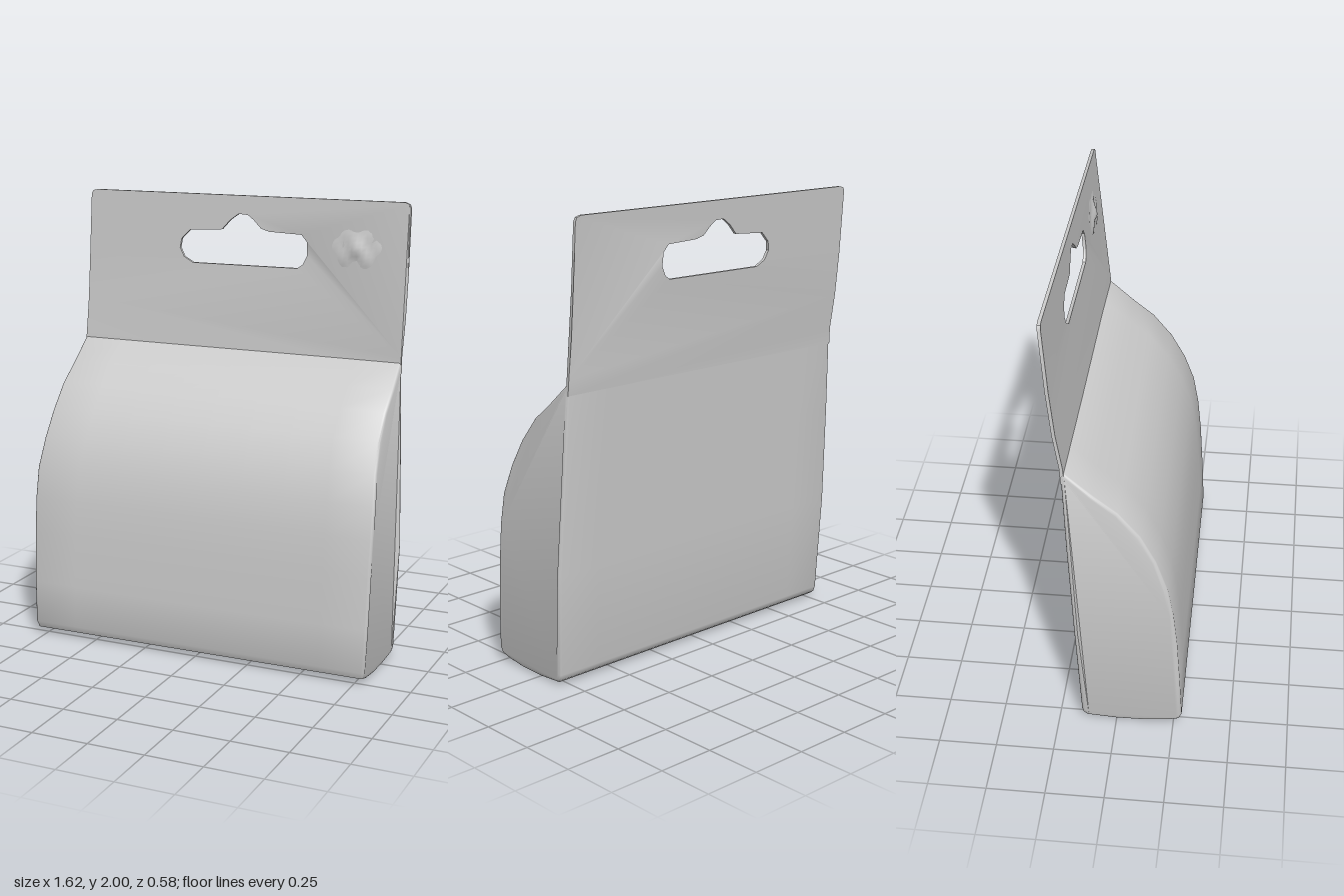
import * as THREE from 'three';
import { toCreasedNormals } from 'three/addons/utils/BufferGeometryUtils.js';

const V = (pts) => pts.map(([a, b]) => new THREE.Vector2(a, b));

// Linear lookup through [key, value] pairs
function lerpTable(t, k) {
  if (k <= t[0][0]) return t[0][1];
  for (let i = 1; i < t.length; i++) {
    const [k0, v0] = t[i - 1], [k1, v1] = t[i];
    if (k <= k1) return v0 + (v1 - v0) * (k - k0) / (k1 - k0);
  }
  return t[t.length - 1][1];
}

// Move every vertex by a rule, then smooth all but the sharp edges
function reshape(geo, rule, crease) {
  const p = geo.attributes.position, v = new THREE.Vector3();
  for (let i = 0; i < p.count; i++) {
    v.fromBufferAttribute(p, i);
    rule(v);
    v.z *= 1 - 0.03 * v.x; // the pack is slightly deeper on one side
    p.setXYZ(i, v.x, v.y, v.z);
  }
  return toCreasedNormals(geo, crease);
}

// Half width of the pouch and front depth of the card, by height
const halfWidth = [[0, 0.79], [0.1, 0.803], [0.75, 0.81], [1.0, 0.787], [1.31, 0.778]];
const cardDepth = [[1.27, -0.198], [1.34, -0.203], [1.5, -0.228], [1.7, -0.248], [2, -0.27]];

function pouchGeometry() {
  // Side profile as (z, y)
  const profile = new THREE.Shape(V([
    [-0.125, 0.012], [0, 0.002], [0.12, 0.004], [0.22, 0.016], [0.268, 0.03], [0.28, 0.06],
    [0.27, 0.25], [0.255, 0.48], [0.238, 0.64], [0.212, 0.78], [0.165, 0.91], [0.1, 1.03],
    [0.01, 1.14], [-0.09, 1.22], [-0.198, 1.315], [-0.213, 1.315], [-0.197, 0.95],
    [-0.172, 0.5], [-0.149, 0.05], [-0.143, 0.026],
  ]));
  const bevel = 0.015;
  const geo = new THREE.ExtrudeGeometry(profile, {
    depth: 2 - 2 * bevel, steps: 8, bevelEnabled: true, bevelSize: bevel,
    bevelThickness: bevel, bevelOffset: -bevel, bevelSegments: 3,
  });
  geo.translate(0, 0, bevel - 1).rotateY(-Math.PI / 2);
  return reshape(geo, (v) => { v.x *= lerpTable(halfWidth, v.y); }, 0.75);
}

function cardGeometry() {
  const card = new THREE.Shape(V([
    [-0.778, 1.27], [0.778, 1.27], [0.776, 1.34], [0.78, 1.5], [0.782, 1.7], [0.782, 1.975],
    [0.775, 1.992], [0.755, 2], [-0.74, 2], [-0.762, 1.995], [-0.77, 1.98],
    [-0.773, 1.7], [-0.773, 1.5], [-0.773, 1.34],
  ]));
  // Hang slot with a raised middle
  card.holes.push(new THREE.Path(V([
    [-0.24, 1.69], [-0.285, 1.715], [-0.306, 1.755], [-0.3, 1.795], [-0.26, 1.836], [-0.1, 1.846],
    [-0.06, 1.89], [-0.02, 1.918], [0.025, 1.915], [0.055, 1.893], [0.09, 1.858], [0.13, 1.846],
    [0.285, 1.84], [0.312, 1.81], [0.315, 1.75], [0.296, 1.71], [0.27, 1.692],
  ])));
  const geo = new THREE.ExtrudeGeometry(card, { depth: 0.014, bevelEnabled: false });
  geo.translate(0, 0, -0.014);
  return reshape(geo, (v) => { v.z += lerpTable(cardDepth, v.y); }, 0.6);
}

// Small crumpled area standing out of the card
function crumpleGeometry() {
  const geo = new THREE.PlaneGeometry(0.3, 0.24, 14, 12).translate(0.55, 1.78, 0).toNonIndexed();
  return reshape(geo, (v) => {
    const r = Math.hypot((v.x - 0.55) / 0.15, (v.y - 1.78) / 0.12);
    const fade = Math.max(0, 1 - r);
    const ripple = 0.65 + 0.35 * Math.sin(v.x * 55) * Math.cos(v.y * 40);
    v.z = lerpTable(cardDepth, v.y) - 0.003 + 0.032 * fade * ripple;
  }, 1);
}

export function createModel() {
  const group = new THREE.Group();
  const grey = new THREE.MeshStandardMaterial({ color: 0xcccccc });
  grey.name = 'matte grey';

  const add = (name, geo) => {
    const mesh = new THREE.Mesh(geo, grey);
    mesh.name = name;
    group.add(mesh);
  };
  add('pouch', pouchGeometry());
  add('headerCard', cardGeometry());
  add('crumple', crumpleGeometry());
  return group;
}
